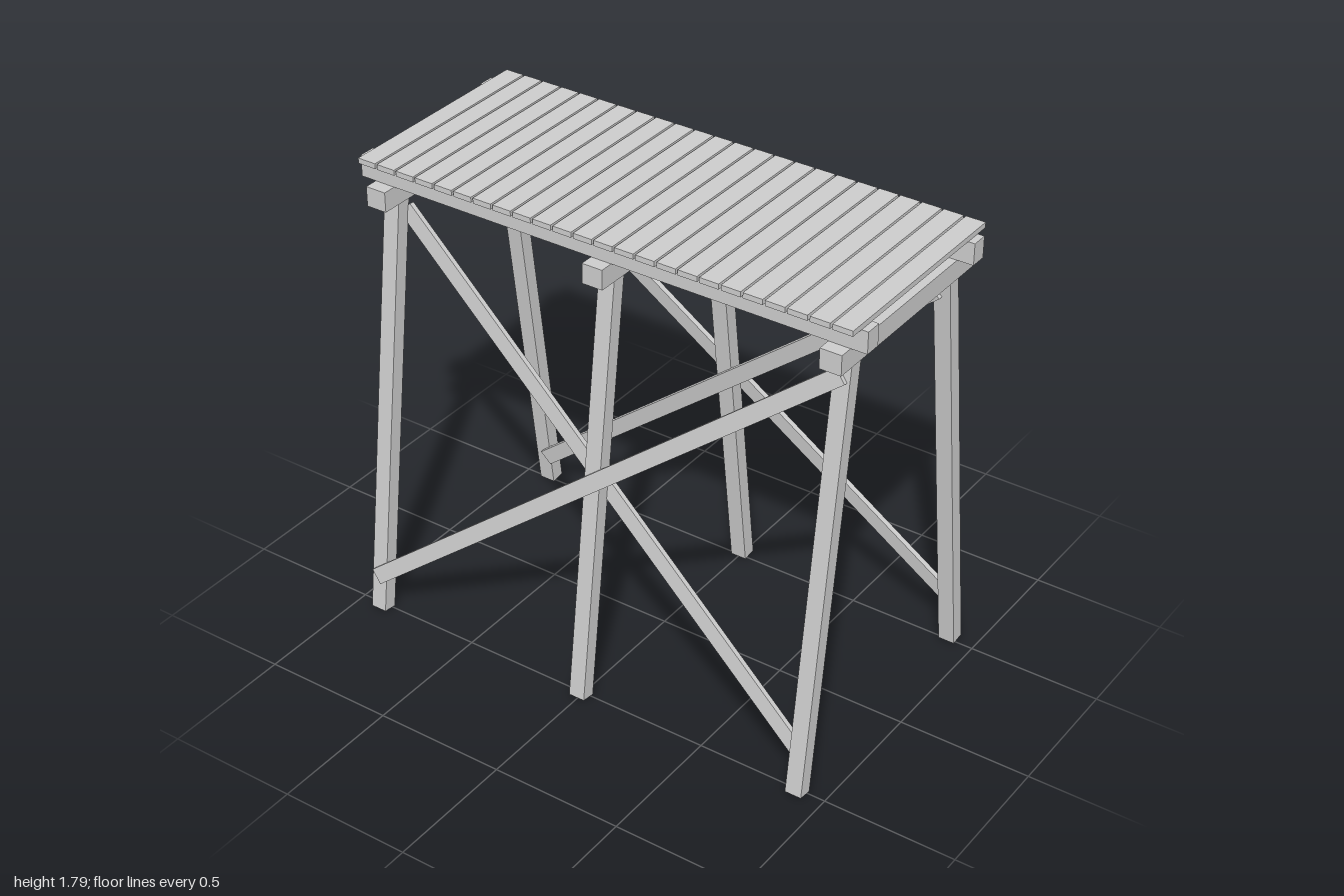
import * as THREE from 'three';

const material = new THREE.MeshStandardMaterial({ color: 0xcccccc, flatShading: true });

// Square-cut timber, centred on (x, y, z)
function beam(parent, name, [w, h, d], [x, y, z]) {
  const mesh = new THREE.Mesh(new THREE.BoxGeometry(w, h, d), material);
  mesh.name = name;
  mesh.position.set(x, y, z);
  parent.add(mesh);
  return mesh;
}

// Diagonal board centred at height y, spanning dx and dy
function brace(parent, name, dx, dy, y, z) {
  const board = beam(parent, name, [Math.hypot(dx, dy), 0.061, 0.02], [0, y, z]);
  board.rotation.z = Math.atan2(dy, dx);
}

export function createModel() {
  const model = new THREE.Group();
  model.name = 'trestlePlatform';
  const bays = [-0.9, 0, 0.9];

  // Deck of cross planks
  const deck = new THREE.Group();
  deck.name = 'deck';
  model.add(deck);
  for (let i = 0; i < 24; i++) {
    beam(deck, 'plank', [0.073, 0.02, 0.816], [-0.931 + i * 0.0813, 1.78, 0]);
  }

  // Long stringers, resting on the cross caps
  for (const z of [-0.327, 0.327]) beam(model, 'stringer', [2, 0.08, 0.062], [0, 1.73, z]);
  for (const x of bays) beam(model, 'crossCap', [0.08, 0.075, 0.816], [x, 1.6525, 0]);

  // Leaning leg rows with crossed braces; the back is the front turned half round
  for (const name of ['front', 'back']) {
    const side = new THREE.Group();
    side.name = name + 'Side';
    if (name === 'back') side.rotation.y = Math.PI;
    model.add(side);

    const row = new THREE.Group();
    row.name = name + 'LegRow';
    row.position.set(0, 0.0036, 0.515);
    row.rotation.x = -Math.atan(0.132);
    side.add(row);

    for (const x of bays) beam(row, name + 'Leg', [0.063, 1.625, 0.054], [x, 0.8125, 0]);
    brace(row, name + 'OuterBrace', 1.806, 1.437, 0.859, 0.033);
    brace(row, name + 'InnerBrace', 1.76, -1.455, 0.855, -0.033);
  }
  return model;
}
